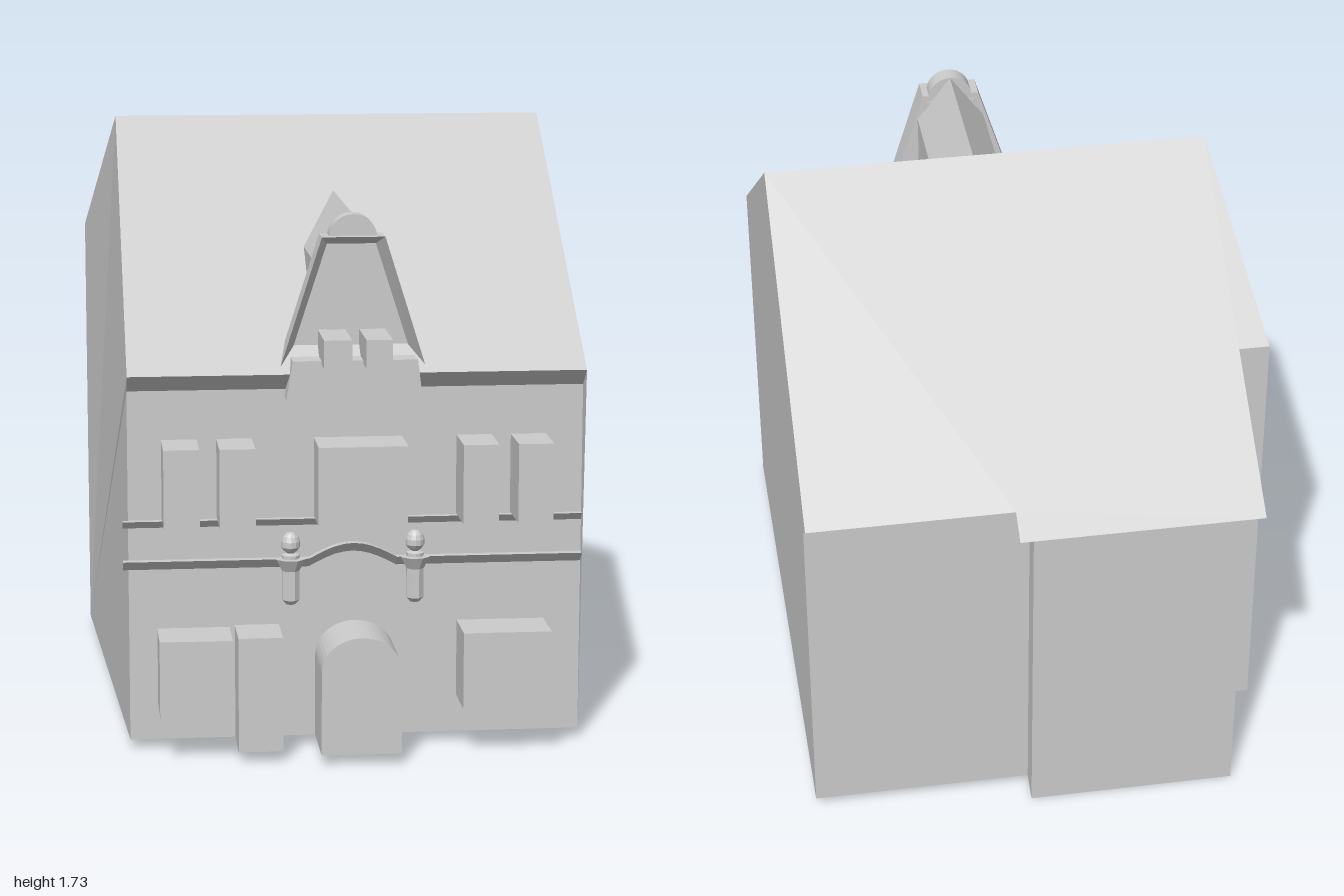
import * as THREE from 'three';

export function createModel() {
  const model = new THREE.Group();
  model.name = 'house';
  const stone = new THREE.MeshStandardMaterial({ color: 0xcccccc, side: THREE.DoubleSide });
  stone.name = 'pale stone';
  stone.flatShading = true;
  const CX = 0.035; // centre line of the doorway and dormer

  const add = (name, geo, x = 0, y = 0, z = 0, parent = model) => {
    const m = new THREE.Mesh(geo, stone);
    m.name = name;
    m.position.set(x, y, z);
    parent.add(m);
    return m;
  };
  // Flat faces, each a list of corners fanned from the first one
  const faces = (name, polys) => {
    const pos = [];
    for (const p of polys)
      for (let i = 1; i < p.length - 1; i++) pos.push(...p[0], ...p[i], ...p[i + 1]);
    const g = new THREE.BufferGeometry();
    g.setAttribute('position', new THREE.Float32BufferAttribute(pos, 3));
    g.computeVertexNormals();
    return add(name, g);
  };
  const box = (name, x0, x1, y0, y1, z0, z1) =>
    add(name, new THREE.BoxGeometry(x1 - x0, y1 - y0, z1 - z0), (x0 + x1) / 2, (y0 + y1) / 2, (z0 + z1) / 2);
  const shapeOf = (pts) => new THREE.Shape(pts.map(([x, y]) => new THREE.Vector2(x, y)));
  // Front outline pushed from z0 to z1
  const slab = (name, shape, z0, z1) =>
    add(name, new THREE.ExtrudeGeometry(shape, { depth: z1 - z0, bevelEnabled: false, curveSegments: 12 }), 0, 0, z0);

  // Main levels and corners
  const L = -0.6, R = 0.69, B = 0.03, W = 1.04, E = 1.09;
  const wl = -0.56, wr = 0.05, rr = 0.1; // rear wing walls and roof edge
  const ridge = [L, 1.73, -0.06], flare = [-0.69, 1.335, -0.59], flareFoot = [-0.69, B, -0.59];

  faces('walls', [
    [[L, B, 0.8], [R, B, 0.8], [R, W, 0.8], [L, W, 0.8]],
    [[R, B, 0.8], [R, B, -0.86], [R, W, -0.86], [R, E, -0.925], [R, 1.73, -0.06], [R, E, 0.855], [R, W, 0.8]],
    [[R, B, -0.86], [wr, B, -0.86], [wr, W, -0.86], [R, W, -0.86]],
    [flareFoot, [L, B, 0.8], [L, W, 0.8], [L, E, 0.855], ridge, flare],
    [[wl, B, -0.59], flareFoot, flare, [L, 1.335, -0.59], [wl, 1.31, -0.59]],
  ]);
  faces('rearWing', [
    [[wr, B, -0.86], [wr, 0, -0.93], [wr, 1.02, -0.93], [wr, W, -0.86]],
    [[wr, 0, -0.93], [wl, 0, -0.93], [wl, 1.02, -0.93], [wr, 1.02, -0.93]],
    [[wl, 0, -0.93], [wl, B, -0.59], [wl, 1.31, -0.59], [wl, 1.02, -0.93]],
  ]);
  faces('floor', [
    [[L, B, 0.8], flareFoot, [wl, B, -0.59], [wl, B, -0.86], [R, B, -0.86], [R, B, 0.8]],
    [[wl, B, -0.59], [wl, 0, -0.93], [wr, 0, -0.93], [wr, B, -0.86]],
  ]);
  faces('roof', [
    [[L, E, 0.855], [R, E, 0.855], [R, 1.73, -0.06], ridge],
    [[rr, E, -0.925], ridge, [R, 1.73, -0.06], [R, E, -0.925]],
    [[rr, E, -0.925], [rr, 1.04, -1], [L, 1.04, -1], ridge],
    [ridge, [L, 1.335, -0.59], flare],
  ]);
  faces('eaves', [
    [[L, W, 0.8], [R, W, 0.8], [R, E, 0.855], [L, E, 0.855]],
    [[R, W, -0.86], [wr, W, -0.86], [rr, E, -0.925], [R, E, -0.925]],
    [[wr, W, -0.86], [wr, 1.02, -0.93], [rr, 1.04, -1], [rr, E, -0.925]],
    [[wr, 1.02, -0.93], [wl, 1.02, -0.93], [L, 1.04, -1], [rr, 1.04, -1]],
    [[wl, 1.02, -0.93], [wl, 1.31, -0.59], [L, 1.335, -0.59], [L, 1.04, -1]],
  ]);

  // Projecting window and door blocks
  for (const [x0, x1] of [[-0.505, -0.405], [-0.35, -0.25], [-0.075, 0.175], [0.33, 0.43], [0.485, 0.585]])
    box('upperWindow', x0, x1, 0.675, 0.9, 0.79, 0.95);
  box('lowerWindow', -0.52, -0.315, 0.135, 0.355, 0.79, 0.95);
  box('lowerWindow', 0.335, 0.585, 0.14, 0.36, 0.79, 0.95);
  box('sideDoor', -0.3, -0.175, B, 0.36, 0.79, 0.95);
  const arch = new THREE.Shape();
  arch.moveTo(CX - 0.08, B).lineTo(CX + 0.12, B);
  arch.lineTo(CX + 0.12, 0.27).absellipse(CX + 0.007, 0.27, 0.113, 0.097, 0, Math.PI, false);
  arch.lineTo(CX - 0.106, B).closePath();
  slab('archedDoor', arch, 0.79, 1);

  // Ledges: a flat top and a sloping underside following a path
  const ledge = (name, path, h, d) => {
    const polys = [];
    for (let i = 0; i < path.length - 1; i++) {
      const [[x0, y0], [x1, y1]] = [path[i], path[i + 1]];
      polys.push([[x0, y0 - h, 0.8], [x1, y1 - h, 0.8], [x1, y1, 0.8 + d], [x0, y0, 0.8 + d]]);
      polys.push([[x0, y0, 0.8 + d], [x1, y1, 0.8 + d], [x1, y1, 0.8], [x0, y0, 0.8]]);
    }
    const [a, b] = [path[0], path[path.length - 1]];
    polys.push([[a[0], a[1] - h, 0.8], [a[0], a[1], 0.8 + d], [a[0], a[1], 0.8]]);
    polys.push([[b[0], b[1] - h, 0.8], [b[0], b[1], 0.8], [b[0], b[1], 0.8 + d]]);
    faces(name, polys);
  };
  ledge('upperLedge', [[-0.615, 0.67], [0.69, 0.67]], 0.022, 0.02);
  const curve = [[-0.615, 0.555], [-0.11, 0.555]];
  for (let i = 0; i <= 10; i++) {
    const t = i / 10;
    curve.push([CX - 0.125 + 0.25 * t, 0.555 + 0.043 * Math.sin(Math.PI * t)]);
  }
  curve.push([0.69, 0.555]);
  ledge('archedLedge', curve, 0.028, 0.025);

  // Brackets topped with ball finials
  for (const s of [-1, 1]) {
    const g = new THREE.Group();
    g.name = 'bracketWithFinial';
    g.position.set(CX + 0.177 * s, 0, 0.812);
    model.add(g);
    const lathe = (name, pts, n) =>
      add(name, new THREE.LatheGeometry(pts.map(([r, y]) => new THREE.Vector2(r, y)), n), 0, 0, 0, g);
    const bracket = lathe('bracket', [[0, 0.418], [0.014, 0.422], [0.026, 0.435], [0.026, 0.52], [0.045, 0.555], [0, 0.555]], 8);
    bracket.rotation.y = Math.PI / 8;
    lathe('finial', [[0.025, 0.555], [0.025, 0.565], [0.01, 0.57], [0.02, 0.578], [0.027, 0.588], [0.027, 0.604],
      [0.022, 0.618], [0.012, 0.628], [0, 0.631]], 12);
  }

  // Dormer: gabled body, front panel, sill, rounded cap and windows
  slab('dormerBody', shapeOf([[CX - 0.105, 1.15], [CX + 0.105, 1.15], [CX + 0.105, 1.39], [CX, 1.53], [CX - 0.105, 1.39]]), 0.2, 0.745);
  slab('dormerPanel', shapeOf([[-0.15, 1.08], [0.22, 1.08], [0.11, 1.45], [-0.04, 1.45]]), 0.74, 0.76);
  slab('dormerSill', shapeOf([[-0.158, 1.02], [0.224, 1.02], [0.21, 1.13], [-0.14, 1.13]]), 0.77, 0.872);
  const cap = new THREE.Shape();
  cap.moveTo(CX + 0.068, 1.462).absarc(CX, 1.462, 0.068, 0, Math.PI, false);
  cap.closePath();
  slab('dormerCap', cap, 0.745, 0.8);
  for (const [x0, x1] of [[-0.06, 0.018], [0.057, 0.13]]) box('dormerWindow', x0, x1, 1.12, 1.2, 0.75, 0.95);

  // Dormer hood: splayed inner reveals and outer skin around the panel
  const outer = [[-0.17, 1.11], [-0.055, 1.47], [0.122, 1.47], [0.235, 1.11]];
  const inner = [[-0.142, 1.115], [-0.035, 1.443], [0.103, 1.443], [0.208, 1.115]];
  const hood = [];
  for (let i = 0; i < 3; i++) {
    const [o0, o1, n0, n1] = [outer[i], outer[i + 1], inner[i], inner[i + 1]];
    hood.push([[...o0, 0.83], [...o1, 0.83], [...n1, 0.762], [...n0, 0.762]]);
    hood.push([[...o0, 0.745], [...o1, 0.745], [...o1, 0.83], [...o0, 0.83]]);
    hood.push([[...n0, 0.745], [...n1, 0.745], [...o1, 0.745], [...o0, 0.745]]);
  }
  for (const i of [0, 3])
    hood.push([[...outer[i], 0.745], [...outer[i], 0.83], [...inner[i], 0.762], [...inner[i], 0.745]]);
  faces('dormerHood', hood);

  return model;
}
